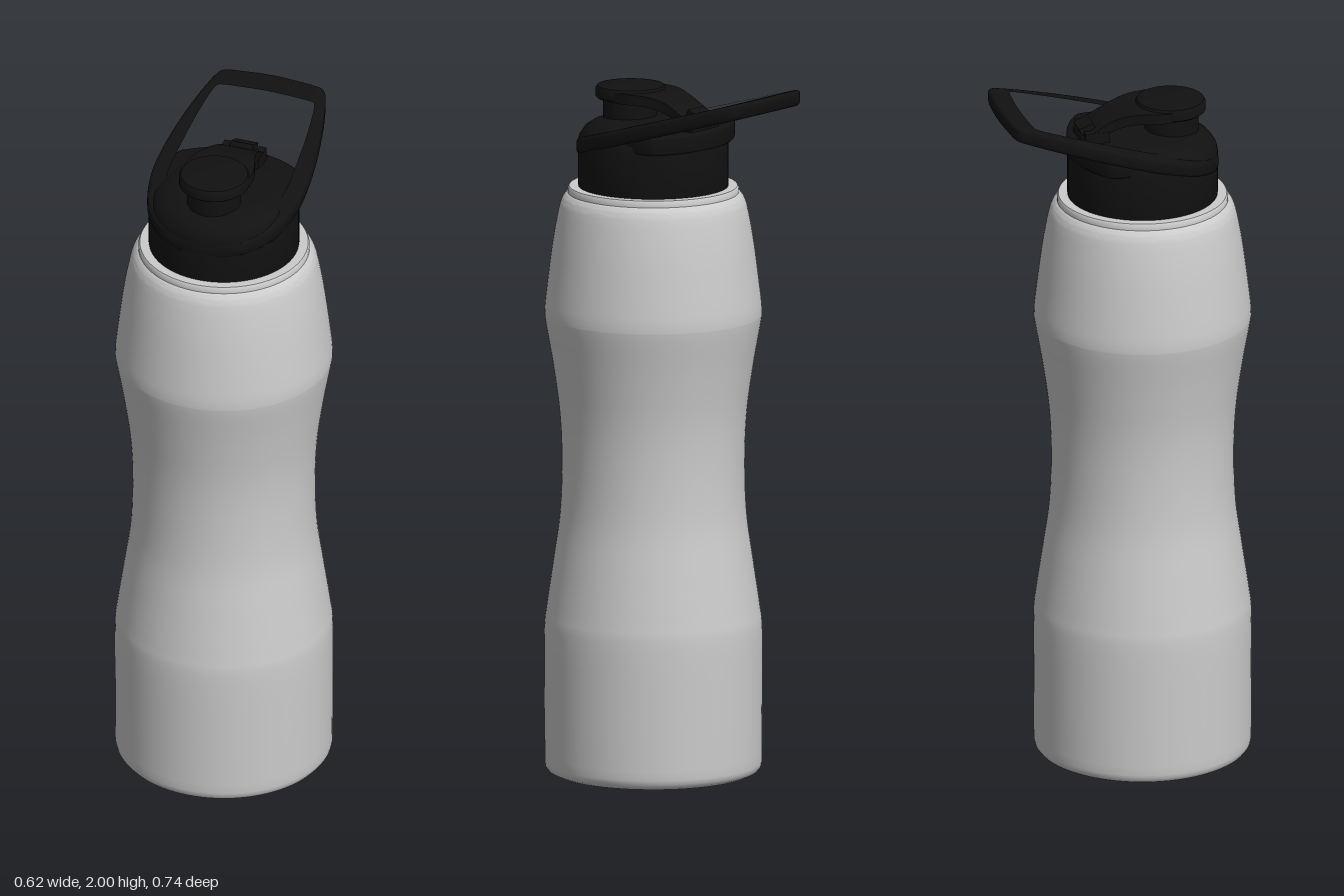
import * as THREE from 'three';
import { toCreasedNormals } from 'three/addons/utils/BufferGeometryUtils.js';

const AXIS_Z = 0.058; // bottle axis; the carry loop overhangs to the back
const steel = new THREE.MeshStandardMaterial({ color: 0xcccccc });
const black = new THREE.MeshStandardMaterial({ color: 0x111111 });

const vectors = (pts) => pts.map(([x, y]) => new THREE.Vector2(x, y));

function add(group, name, geometry, material) {
  const mesh = new THREE.Mesh(geometry, material);
  mesh.name = name;
  group.add(mesh);
  return mesh;
}

// Turned part around a vertical axis at depth z
function lathe(profile, z, segments = 72) {
  const g = toCreasedNormals(new THREE.LatheGeometry(vectors(profile), segments), 0.6);
  return g.translate(0, 0, z);
}

// Closed smooth outline from a right half, mirrored to the left
function outline(half) {
  const left = half.filter(([x]) => x > 0).reverse().map(([x, z]) => [-x, z]);
  const pts = [...half, ...left].map(([x, z]) => new THREE.Vector3(x, z, 0));
  const curve = new THREE.CatmullRomCurve3(pts, true, 'centripetal');
  return curve.getPoints(120).slice(0, -1).map((p) => new THREE.Vector2(p.x, p.y));
}

// Horizontal plate with an outline in x, z, moved up by heightAt(z)
function plate(half, holeHalf, thickness, bevel, heightAt) {
  const shape = new THREE.Shape(outline(half));
  if (holeHalf) shape.holes.push(new THREE.Path(outline(holeHalf)));
  const g = new THREE.ExtrudeGeometry(shape, {
    depth: thickness - 2 * bevel, bevelEnabled: true, bevelThickness: bevel,
    bevelSize: bevel, bevelOffset: -bevel, bevelSegments: 3,
  });
  g.translate(0, 0, bevel - thickness / 2).rotateX(Math.PI / 2);
  const p = g.attributes.position;
  for (let i = 0; i < p.count; i++) p.setY(i, p.getY(i) + heightAt(p.getZ(i)));
  return toCreasedNormals(g, 0.7);
}

// Arm from the lid to the hinge: a box widened and bent along z
function lidArm() {
  const g = new THREE.BoxGeometry(2, 0.03, 1, 6, 1, 28);
  const p = g.attributes.position;
  const { lerp, smoothstep } = THREE.MathUtils;
  for (let i = 0; i < p.count; i++) {
    const z = lerp(-0.13, 0.12, p.getZ(i) + 0.5);
    const half = lerp(0.062, 0.098, smoothstep(z, -0.06, 0.1));
    const drop = 0.075 * Math.pow(Math.max(0, (0.05 - z) / 0.18), 2);
    p.setXYZ(i, p.getX(i) * half, p.getY(i) + 1.952 - drop, z);
  }
  return toCreasedNormals(g, 0.6);
}

export function createModel() {
  const model = new THREE.Group();
  model.name = 'bottle';

  // Waisted body with rounded base, shoulder and lip
  const side = new THREE.SplineCurve(vectors([
    [0.309, 0.03], [0.31, 0.22], [0.31, 0.41], [0.303, 0.48], [0.284, 0.61], [0.265, 0.75],
    [0.26, 0.9], [0.266, 1.04], [0.285, 1.18], [0.306, 1.3], [0.309, 1.335], [0.304, 1.39],
    [0.286, 1.53], [0.27, 1.62], [0.26, 1.655], [0.248, 1.672],
  ])).getPoints(75).map((v) => [v.x, v.y]);
  add(model, 'body', lathe([
    [0, 0.008], [0.2, 0.008], [0.21, 0], [0.285, 0], [0.3, 0.008], [0.307, 0.018],
    ...side, [0.243, 1.675], [0.243, 1.688], [0.239, 1.694], [0.2, 1.694], [0, 1.694],
  ], AXIS_Z, 96), steel);

  // Screw cap with a domed top
  const cap = new THREE.Group();
  cap.name = 'cap';
  model.add(cap);
  add(cap, 'capBody', lathe([
    [0, 1.69], [0.212, 1.69], [0.214, 1.7], [0.214, 1.825], [0.21, 1.84], [0.195, 1.862],
    [0.175, 1.876], [0.14, 1.884], [0.08, 1.887], [0, 1.888],
  ], AXIS_Z), black);

  // Rear deck between the arms of the loop
  add(cap, 'rearDeck', plate([
    [0, 0.08], [0.14, 0.08], [0.19, 0.04], [0.195, -0.02], [0.188, -0.085],
    [0.172, -0.1], [0.1, -0.138], [0, -0.157],
  ], null, 0.055, 0.008, () => 1.85), black);

  // Tilted carry loop that wraps round the front of the cap
  add(cap, 'carryLoop', plate([
    [0, 0.272], [0.11, 0.246], [0.188, 0.17], [0.221, 0.06], [0.223, -0.03], [0.21, -0.15],
    [0.183, -0.28], [0.16, -0.345], [0.147, -0.356], [0.08, -0.365], [0, -0.369],
  ], [
    [0, 0.235], [0.1, 0.2], [0.16, 0.13], [0.184, 0.05], [0.182, -0.1], [0.174, -0.2],
    [0.158, -0.293], [0.148, -0.304], [0.08, -0.312], [0, -0.315],
  ], 0.046, 0.011, (z) => 1.873 - 0.29 * z), black);

  // Drinking spout and its flip lid
  add(cap, 'spout', lathe([
    [0, 1.87], [0.077, 1.87], [0.077, 1.945], [0, 1.945],
  ], 0.143, 48), black);
  add(cap, 'lid', lathe([
    [0, 1.938], [0.094, 1.938], [0.1, 1.943], [0.1, 1.966], [0.095, 1.974], [0.085, 1.976], [0, 1.976],
  ], 0.14, 48), black);
  add(cap, 'lidArm', lidArm(), black);

  // Hinge: side lugs, pin and rear latch
  for (const s of [-1, 1]) {
    const lug = add(cap, 'hingeLug', new THREE.BoxGeometry(0.022, 0.06, 0.07), black);
    lug.position.set(s * 0.052, 1.885, -0.09);
  }
  const pin = add(cap, 'hingePin', new THREE.CylinderGeometry(0.014, 0.014, 0.12, 20), black);
  pin.rotation.z = Math.PI / 2;
  pin.position.set(0, 1.895, -0.1);
  const latch = add(cap, 'latch', new THREE.BoxGeometry(0.068, 0.02, 0.045), black);
  latch.position.set(0, 1.918, -0.112);
  latch.rotation.x = -0.4;

  return model;
}
